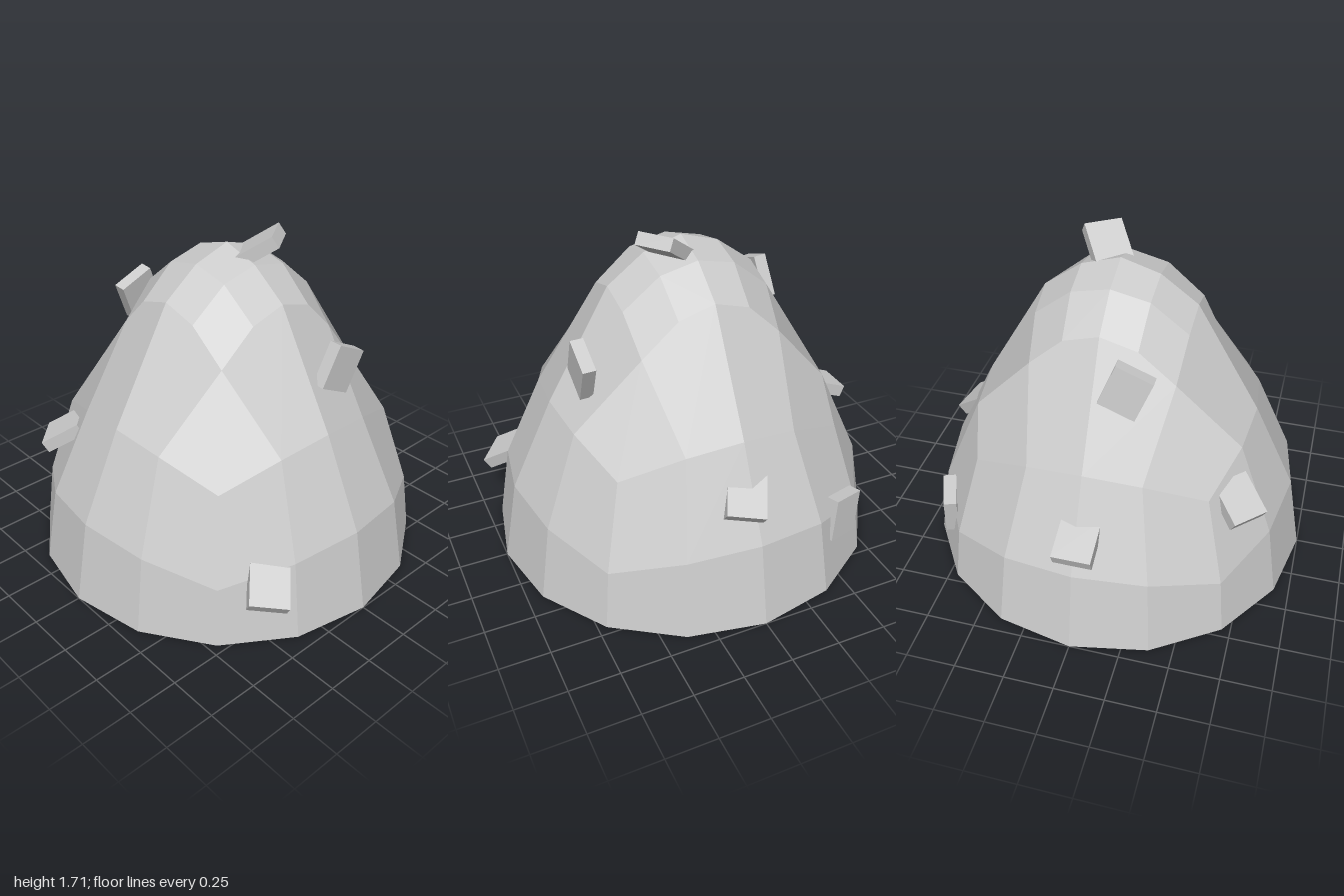
import * as THREE from 'three';

const grey = () => new THREE.MeshStandardMaterial({ color: 0xcccccc, flatShading: false, side: THREE.DoubleSide });

// Height curve: unit-sphere height -> mound height
const HEIGHTS = [[0, 0], [0.28, 0.3], [0.383, 0.42], [0.577, 0.73], [0.707, 0.87], [0.862, 1.2], [0.924, 1.43], [0.981, 1.57], [1, 1.63]];
function liftHeight(s) {
  for (let i = 1; i < HEIGHTS.length; i++) {
    const [s0, h0] = HEIGHTS[i - 1], [s1, h1] = HEIGHTS[i];
    if (s <= s1) return h0 + (h1 - h0) * (s - s0) / (s1 - s0);
  }
  return HEIGHTS[HEIGHTS.length - 1][1];
}

// Project a cube direction to the sphere, then stretch it into the mound
function moundPoint(x, y, z) {
  const p = new THREE.Vector3(x, y, z).normalize();
  p.y = liftHeight(Math.max(0, p.y));
  return p;
}

const tan = (deg) => Math.tan(THREE.MathUtils.degToRad(deg));
const sidePoint = ([a, b]) => moundPoint(tan(a), tan(b), 1);
const topPoint = ([a, b]) => moundPoint(tan(a), 1, -tan(b));
const cell = (a, b, s) => [[a, b], [a + s, b], [a + s, b + s], [a, b + s]];

// Half of a rounded cube grid, open underneath, one flat normal per cell
function moundGeometry() {
  const positions = [], normals = [];
  const addPolygon = (pts, turn = 0) => {
    const up = new THREE.Vector3(0, 1, 0);
    pts.forEach((p) => p.applyAxisAngle(up, turn));
    const last = pts.length - 1;
    const n = pts[2].clone().sub(pts[0]).cross(pts[last].clone().sub(pts[1])).normalize();
    for (let i = 1; i < last; i++) {
      for (const p of [pts[0], pts[i], pts[i + 1]]) {
        positions.push(p.x, p.y, p.z);
        normals.push(n.x, n.y, n.z);
      }
    }
  };
  const S = 22.5;
  for (let r = 0; r < 4; r++) {
    const turn = r * Math.PI / 2;
    // side wall: four columns, two rows
    for (let i = 0; i < 4; i++) {
      for (let j = 0; j < 2; j++) addPolygon(cell(-45 + i * S, j * S, S).map(sidePoint), turn);
    }
    // shoulder: one corner cell and two cells that meet the finer crown
    addPolygon(cell(-45, -45, S).map(topPoint), turn);
    for (const a of [-S, 0]) {
      const ring = cell(a, -45, S);
      ring.splice(3, 0, [a + S / 2, -S]);
      addPolygon(ring.map(topPoint), turn);
    }
  }
  // crown: finer four by four grid
  for (let i = 0; i < 4; i++) {
    for (let j = 0; j < 4; j++) addPolygon(cell(-S + i * S / 2, -S + j * S / 2, S / 2).map(topPoint));
  }
  const g = new THREE.BufferGeometry();
  g.setAttribute('position', new THREE.Float32BufferAttribute(positions, 3));
  g.setAttribute('normal', new THREE.Float32BufferAttribute(normals, 3));
  return g;
}

// Loose slabs: centre, direction of length, direction of width
const CHIPS = [
  [[0.097, 1.62, 0.126], [0.11, 0.13, 0.16], [0.16, 0, -0.12]],
  [[0.18, 1.12, 0.59], [0.1, 0.2, 0.01], [0.16, -0.08, 0]],
  [[-0.497, 0.32, 0.83], [-0.13, -0.115, 0.13], [0.16, -0.025, 0.11]],
  [[0.796, 0.633, 0.03], [0.14, -0.12, 0.07], [-0.05, 0.03, 0.18]],
  [[0.78, 0.34, -0.525], [0.02, -0.22, 0.03], [-0.08, -0.02, -0.2]],
  [[-0.015, 0.595, -0.855], [0, -0.08, -0.2], [1, 0, 0]],
  [[-0.7, 0.66, -0.46], [-0.13, -0.11, -0.13], [0.12, 0, -0.13]],
  [[-0.16, 1.25, -0.51], [0.08, -0.2, -0.025], [0.19, 0.07, 0]],
];

function makeChip([centre, length, width]) {
  const u = new THREE.Vector3(...length).normalize();
  const w = new THREE.Vector3(...width);
  w.addScaledVector(u, -w.dot(u)).normalize();
  const n = new THREE.Vector3().crossVectors(w, u);
  const chip = new THREE.Mesh(new THREE.BoxGeometry(0.19, 0.22, 0.065), grey());
  chip.quaternion.setFromRotationMatrix(new THREE.Matrix4().makeBasis(w, u, n));
  chip.position.set(...centre);
  return chip;
}

export function createModel() {
  const model = new THREE.Group();
  model.name = 'moundWithChips';

  const mound = new THREE.Mesh(moundGeometry(), grey());
  mound.name = 'mound';
  model.add(mound);

  CHIPS.forEach((c, i) => {
    const chip = makeChip(c);
    chip.name = `chip${i + 1}`;
    model.add(chip);
  });
  return model;
}
